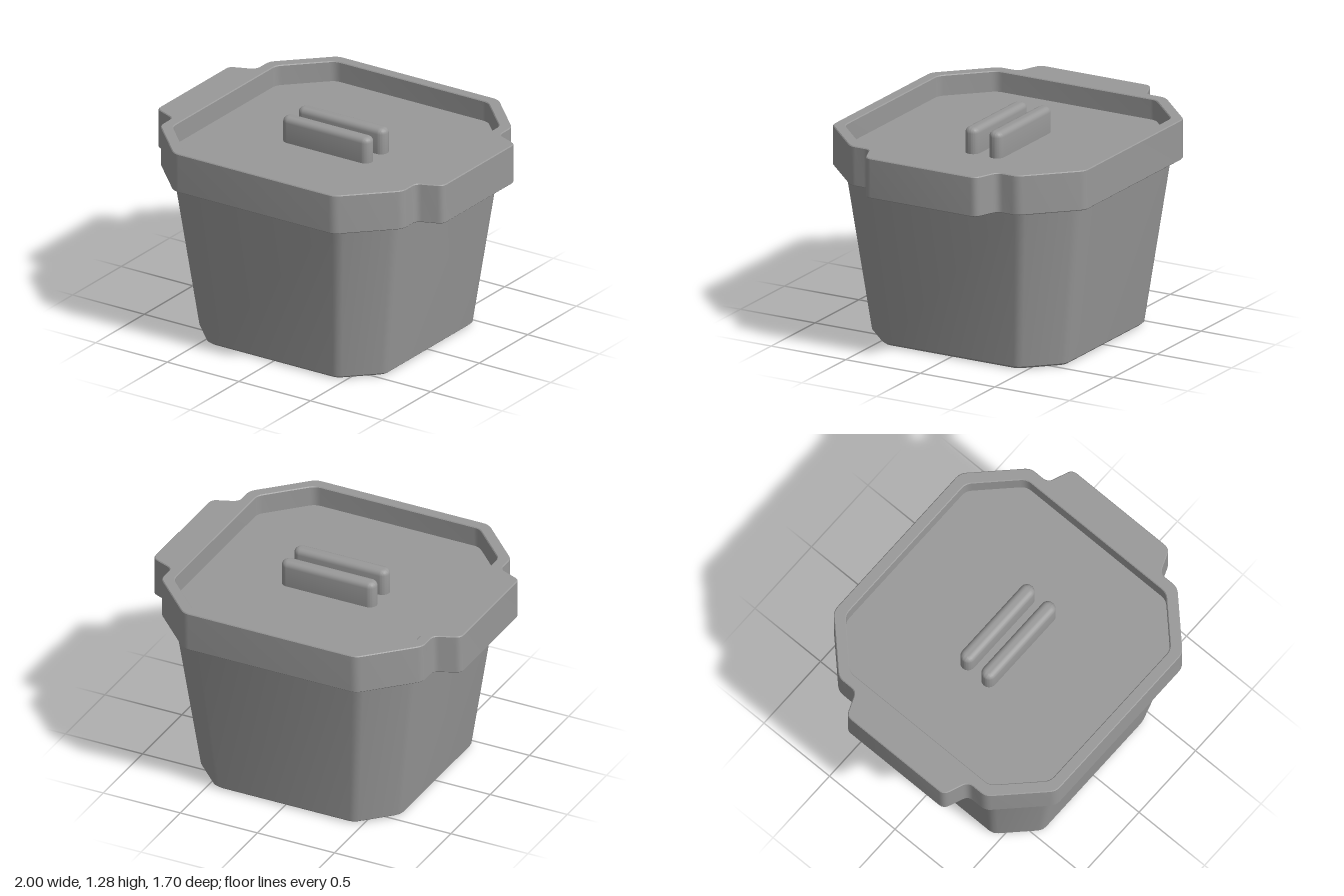
import * as THREE from 'three';
import { toCreasedNormals } from 'three/addons/utils/BufferGeometryUtils.js';

const mat = new THREE.MeshStandardMaterial({ color: 0x999999 });

// Mirrors one quadrant of corners (ordered from the x axis to the z axis) into a full loop.
function mirrorQuadrant(q) {
  const r = [...q].reverse();
  return [
    ...q.map(([x, y]) => [x, y]),
    ...r.map(([x, y]) => [-x, y]),
    ...q.map(([x, y]) => [-x, -y]),
    ...r.map(([x, y]) => [x, -y]),
  ];
}

// Rounds every corner of a closed loop and returns its points.
function roundLoop(corners, radius, steps) {
  const v = corners.map(([x, y]) => new THREE.Vector2(x, y));
  const out = [];
  v.forEach((p, i) => {
    const a = v[(i + v.length - 1) % v.length];
    const b = v[(i + 1) % v.length];
    const toward = (t) => p.clone().lerp(t, Math.min(radius / p.distanceTo(t), 0.45));
    out.push(...new THREE.QuadraticBezierCurve(toward(a), p, toward(b)).getPoints(steps));
  });
  return out;
}

const octagon = (half, cut, radius, steps) =>
  roundLoop(mirrorQuadrant([[half, cut], [cut, half]]), radius, steps);

// Extrudes a plan shape upward from y0 to y1 with bevelled edges.
function slab(name, shape, y0, y1, bevel, bevelSegments = 1) {
  const geo = new THREE.ExtrudeGeometry(shape, {
    depth: y1 - y0 - 2 * bevel,
    bevelEnabled: bevel > 0,
    bevelSize: bevel,
    bevelThickness: bevel,
    bevelOffset: -bevel,
    bevelSegments,
    curveSegments: 12,
  });
  geo.rotateX(-Math.PI / 2).translate(0, y0 + bevel, 0);
  const mesh = new THREE.Mesh(toCreasedNormals(geo, 0.55), mat);
  mesh.name = name;
  return mesh;
}

// Tapered body: one loop scaled at each [height, scale] and capped at both ends.
function loft(name, loop, levels) {
  const n = loop.length;
  const pos = [];
  const idx = [];
  for (const [y, s] of levels) for (const p of loop) pos.push(p.x * s, y, -p.y * s);
  for (let k = 0; k < levels.length - 1; k++) {
    for (let i = 0; i < n; i++) {
      const a = k * n + i, b = k * n + ((i + 1) % n);
      idx.push(a, b, b + n, a, b + n, a + n);
    }
  }
  const last = (levels.length - 1) * n;
  const bottom = pos.length / 3;
  pos.push(0, levels[0][0], 0, 0, levels[levels.length - 1][0], 0);
  for (let i = 0; i < n; i++) {
    const j = (i + 1) % n;
    idx.push(bottom, j, i, bottom + 1, last + i, last + j);
  }
  const geo = new THREE.BufferGeometry();
  geo.setAttribute('position', new THREE.Float32BufferAttribute(pos, 3));
  geo.setIndex(idx);
  const mesh = new THREE.Mesh(toCreasedNormals(geo, 0.5), mat);
  mesh.name = name;
  return mesh;
}

export function createModel() {
  const group = new THREE.Group();
  group.name = 'liddedTub';

  // Tapered tub with chamfered corners and a small bevel at the base
  group.add(loft('tub', octagon(0.785, 0.54, 0.035, 2), [[0, 0.812], [0.015, 0.834], [1.02, 1]]));

  // Lid: rim with a grip ear on each side, around a sunken panel
  const lid = new THREE.Group();
  lid.name = 'lid';
  const outline = mirrorQuadrant([[1, 0.37], [0.85, 0.43], [0.85, 0.56], [0.56, 0.85]]);
  const rim = new THREE.Shape(roundLoop(outline, 0.035, 4));
  rim.holes.push(new THREE.Path(octagon(0.781, 0.532, 0.035, 4).reverse()));
  lid.add(slab('lidRim', rim, 1.008, 1.25, 0.005));
  lid.add(slab('lidPanel', new THREE.Shape(octagon(0.79, 0.537, 0.035, 4)), 1.012, 1.125, 0));

  // Two parallel grip bars with rounded ends and tops
  const r = 0.045, half = 0.305 - r;
  const bar = new THREE.Shape();
  bar.absarc(half, 0, r, -Math.PI / 2, Math.PI / 2, false);
  bar.absarc(-half, 0, r, Math.PI / 2, Math.PI * 1.5, false);
  for (const side of [1, -1]) {
    const grip = slab(side > 0 ? 'frontGrip' : 'backGrip', bar, 1.06, 1.28, 0.032, 5);
    grip.position.z = side * 0.08;
    lid.add(grip);
  }
  group.add(lid);
  return group;
}
